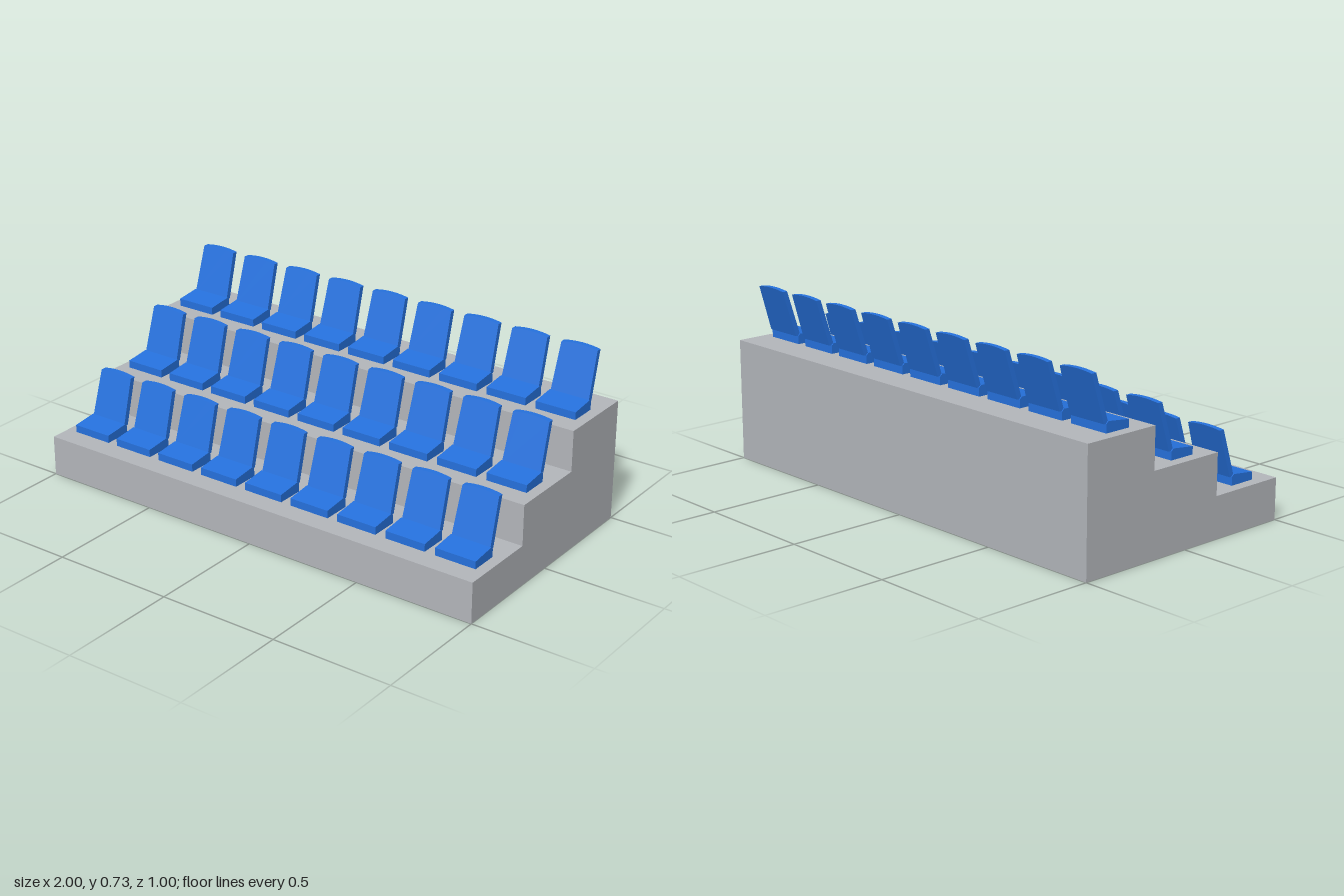
import * as THREE from 'three';

const concrete = new THREE.MeshStandardMaterial({ color: 0xb4b7bc });
concrete.name = 'concrete grey';
const plastic = new THREE.MeshStandardMaterial({ color: 0x2672de });
plastic.name = 'seat blue';

const STEP_H = 1 / 6, STEP_D = 1 / 3, ROWS = 3, SEATS = 9, PITCH = 0.2174;

// Side profile given as [z, y] points, extruded across x and centred
function extrudeAcross(points, width) {
  const shape = new THREE.Shape(points.map(([z, y]) => new THREE.Vector2(-z, y)));
  const geo = new THREE.ExtrudeGeometry(shape, { depth: width, bevelEnabled: false });
  geo.translate(0, 0, -width / 2);
  geo.rotateY(Math.PI / 2);
  return geo;
}

// Seat pan: wedge rising slightly to the rear, origin on the step
function makePan() {
  return extrudeAcross([
    [0.413, 0], [0.413, 0.031], [0.31, 0.043], [0.3, 0.034], [0.3, 0],
  ], 0.173);
}

// Backrest: tapered panel with a curved top, leaned back by a shear
function makeBackrest() {
  const bottom = 0.034, shoulder = 0.223, crown = 0.237;
  const shape = new THREE.Shape();
  shape.moveTo(-0.083, bottom);
  shape.lineTo(0.083, bottom);
  shape.lineTo(0.078, shoulder);
  shape.quadraticCurveTo(0, crown, -0.078, shoulder);
  shape.closePath();
  const geo = new THREE.ExtrudeGeometry(shape, { depth: 0.022, bevelEnabled: false, curveSegments: 8 });
  const p = geo.attributes.position;
  for (let i = 0; i < p.count; i++) {
    p.setZ(i, p.getZ(i) + 0.291 - 0.302 * (p.getY(i) - bottom));
  }
  geo.computeVertexNormals();
  return geo;
}

export function createModel() {
  const model = new THREE.Group();
  model.name = 'grandstand';

  // Stepped base
  const profile = [[-0.5, 0], [0.5, 0]];
  for (let r = 0; r < ROWS; r++) {
    const y = (r + 1) * STEP_H;
    profile.push([0.5 - r * STEP_D, y], [0.5 - (r + 1) * STEP_D, y]);
  }
  const base = new THREE.Mesh(extrudeAcross(profile, 2), concrete);
  base.name = 'steppedBase';
  model.add(base);

  // Rows of seats
  const panGeo = makePan(), backGeo = makeBackrest();
  for (let r = 0; r < ROWS; r++) {
    const row = new THREE.Group();
    row.name = `seatRow${r + 1}`;
    row.position.set(0, (r + 1) * STEP_H, -r * STEP_D);
    for (let i = 0; i < SEATS; i++) {
      const seat = new THREE.Group();
      seat.name = `seat${i + 1}`;
      seat.position.x = (i - (SEATS - 1) / 2) * PITCH;
      const pan = new THREE.Mesh(panGeo, plastic);
      pan.name = 'seatPan';
      const back = new THREE.Mesh(backGeo, plastic);
      back.name = 'backrest';
      seat.add(pan, back);
      row.add(seat);
    }
    model.add(row);
  }
  return model;
}
